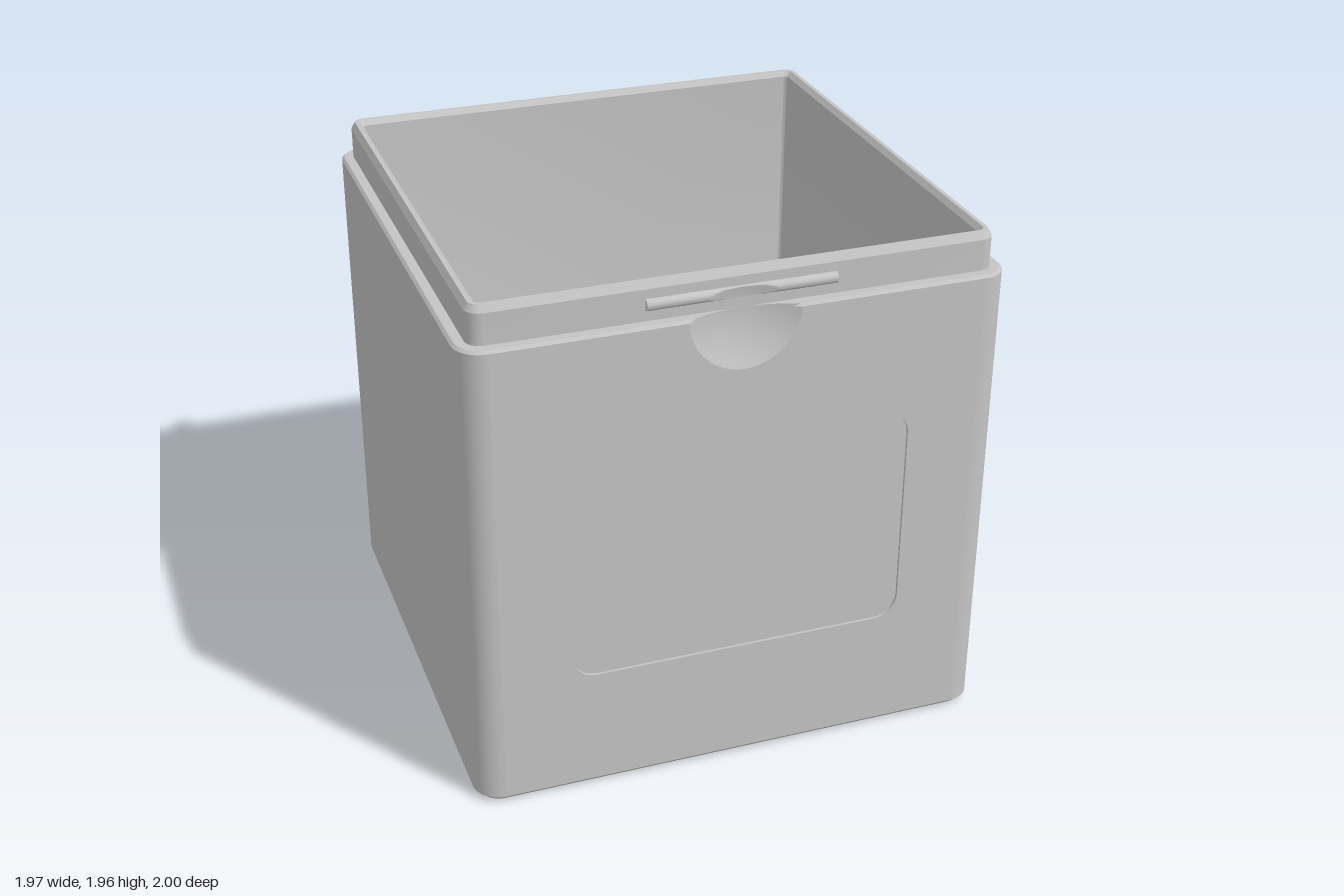
import * as THREE from 'three';
import { toCreasedNormals } from 'three/addons/utils/BufferGeometryUtils.js';

const HALF_X = 0.985, HALF_Z = 0.955, MID_Z = 0.045;
const FRONT = HALF_Z + MID_Z, BACK = MID_Z - HALF_Z;
const SCOOP_R = 0.2, SCOOP_DEPTH = 0.045, SHOULDER = 1.81, CORNER = 8, SAMPLES = 17;

// Shallow bowl of the thumb scoop, as a z height over the front face
const scoopZ = (x, y) =>
  FRONT - SCOOP_DEPTH * Math.max(0, 1 - (x * x + (y - SHOULDER) ** 2) / SCOOP_R ** 2);

// Rounded rectangle at height y, inset from the body's outer walls
function ring(inset, y) {
  const hx = Math.max(0, HALF_X - inset), hz = Math.max(0, HALF_Z - inset);
  const r = Math.min(Math.max(0.02, 0.1 - inset), hx, hz);
  const pts = [];
  [[1, 1], [-1, 1], [-1, -1], [1, -1]].forEach(([sx, sz], q) => {
    for (let i = 0; i <= CORNER; i++) {
      const a = (q + i / CORNER) * Math.PI / 2;
      pts.push([sx * (hx - r) + r * Math.cos(a), y, MID_Z + sz * (hz - r) + r * Math.sin(a)]);
    }
    if (q === 0) {
      for (let i = 0; i < SAMPLES; i++) {
        const s = SCOOP_R * (1 - 2 * i / (SAMPLES - 1));
        const x = THREE.MathUtils.clamp(s, r - hx, hx - r);
        const z = MID_Z + hz;
        pts.push([x, y, Math.abs(y - SHOULDER) < 0.02 ? Math.min(z, scoopZ(x, y)) : z]);
      }
    }
  });
  return pts;
}

// Skin through a list of [inset, y] levels; the front wall of one level may be left open
function loft(levels, openLevel) {
  const rings = levels.map(([inset, y]) => ring(inset, y));
  const pos = [], n = rings[0].length;
  for (let i = 0; i < rings.length - 1; i++) {
    for (let j = 0; j < n; j++) {
      if (i === openLevel && j >= CORNER && j <= CORNER + SAMPLES) continue;
      const k = (j + 1) % n, a = rings[i], b = rings[i + 1];
      pos.push(...a[j], ...b[j], ...a[k], ...a[k], ...b[j], ...b[k]);
    }
  }
  const g = new THREE.BufferGeometry();
  g.setAttribute('position', new THREE.Float32BufferAttribute(pos, 3));
  return toCreasedNormals(g, 0.5);
}

function roundedRect(path, x0, y0, x1, y1, r) {
  path.moveTo(x0 + r, y0);
  path.lineTo(x1 - r, y0);
  path.absarc(x1 - r, y0 + r, r, -Math.PI / 2, 0);
  path.absarc(x1 - r, y1 - r, r, 0, Math.PI / 2);
  path.absarc(x0 + r, y1 - r, r, Math.PI / 2, Math.PI);
  path.absarc(x0 + r, y0 + r, r, Math.PI, Math.PI * 1.5);
  return path;
}

// Side profile of [distance behind centre, y] points, extruded along x
function sideExtrude(points, x0, x1) {
  const shape = new THREE.Shape(points.map(p => new THREE.Vector2(...p)));
  const g = new THREE.ExtrudeGeometry(shape, { depth: x1 - x0, bevelEnabled: false });
  return toCreasedNormals(g.rotateY(Math.PI / 2).translate(x0, 0, 0), 0.5);
}

export function createModel() {
  const model = new THREE.Group();
  model.name = 'openBox';
  const grey = new THREE.MeshStandardMaterial({ color: 0xc4c4c4 });
  grey.name = 'light grey';
  const add = (name, geometry, parent = model) => {
    const mesh = new THREE.Mesh(geometry, grey);
    mesh.name = name;
    parent.add(mesh);
    return mesh;
  };

  // Box: underside, walls, shoulder, lip and interior in one skin
  add('boxBody', loft([
    [1, 0], [0.025, 0], [0, 0.025], [0, SHOULDER], [0.01, 1.82], [0.045, 1.82],
    [0.045, 1.935], [0.06, 1.96], [0.075, 1.96], [0.09, 1.94],
    [0.09, 0.1], [0.096, 0.086], [0.11, 0.08], [1, 0.08],
  ], 2));

  // Front wall with the label recess and scoop cut out
  const w = HALF_X - 0.1;
  const wall = new THREE.Shape();
  wall.moveTo(-w, 0.025);
  wall.lineTo(w, 0.025);
  wall.lineTo(w, SHOULDER);
  wall.lineTo(SCOOP_R, SHOULDER);
  wall.absarc(0, SHOULDER, SCOOP_R, 0, -Math.PI, true);
  wall.lineTo(-w, SHOULDER);
  wall.holes.push(roundedRect(new THREE.Path(), -0.625, 0.48, 0.625, 1.34, 0.09));
  const recess = 0.01;
  add('frontWall', new THREE.ExtrudeGeometry(wall, { depth: recess, bevelEnabled: false, curveSegments: 16 }))
    .position.z = FRONT - recess;
  add('labelRecess', new THREE.ShapeGeometry(roundedRect(new THREE.Shape(), -0.625, 0.48, 0.625, 1.34, 0.09), 16))
    .position.z = FRONT - recess;

  // Thumb scoop below the shoulder
  const scoop = new THREE.RingGeometry(0, SCOOP_R, 32, 10, Math.PI, Math.PI).translate(0, SHOULDER, 0);
  const sp = scoop.attributes.position;
  for (let i = 0; i < sp.count; i++) sp.setZ(i, scoopZ(sp.getX(i), sp.getY(i)));
  scoop.computeVertexNormals();
  add('thumbScoop', scoop);

  // Snap ridge on the lip, thinned where the scoop passes through it
  const ridge = new THREE.CylinderGeometry(0.021, 0.021, 0.68, 20, 68)
    .rotateZ(Math.PI / 2).translate(0, 1.88, 0.956);
  const rp = ridge.attributes.position;
  for (let i = 0; i < rp.count; i++) rp.setZ(i, Math.min(rp.getZ(i), scoopZ(rp.getX(i), rp.getY(i))));
  add('snapRidge', toCreasedNormals(ridge, 0.5));

  // Rear hinge bracket: two posts, a sloped bottom bar and a back plate
  const bracket = new THREE.Group();
  bracket.name = 'hingeBracket';
  model.add(bracket);
  const inner = -BACK - 0.03, top = 1.815;
  const post = [[inner, 1.1], [-BACK, 1.1], [1, 1.18], [1, top], [inner, top]];
  add('rightPost', sideExtrude(post, -0.8, -0.73), bracket);
  add('leftPost', sideExtrude(post, 0.73, 0.8), bracket);
  add('bottomBar', sideExtrude([[inner, 1.1], [-BACK, 1.1], [1, 1.18], [1, 1.25], [inner, 1.25]], -0.73, 0.73), bracket);
  const plate = [[inner, 1.25], [0.925, 1.25]];
  for (let i = 0; i <= 6; i++) {
    const a = i / 6 * Math.PI / 2;
    plate.push([inner + 0.045 * Math.cos(a), 1.77 + 0.045 * Math.sin(a)]);
  }
  add('backPlate', sideExtrude(plate, -0.73, 0.73), bracket);

  return model;
}
